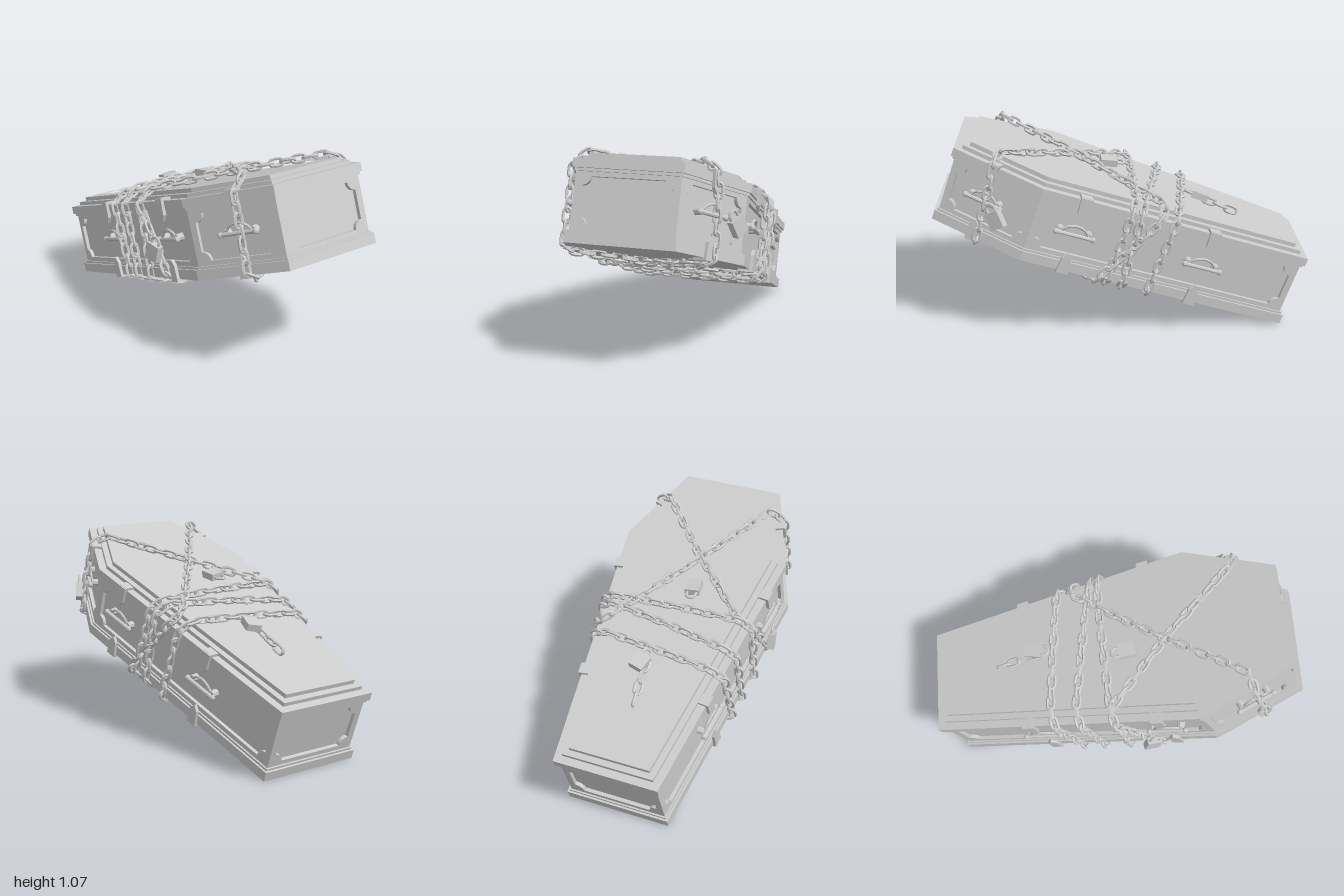
import * as THREE from 'three';
import { mergeGeometries } from 'three/addons/utils/BufferGeometryUtils.js';

const MAT = new THREE.MeshStandardMaterial({ color: 0xcccccc, flatShading: true });
const END = 0.99, TOP = 0.452;

function mesh(name, geo, parent, x = 0, y = 0, z = 0) {
  const m = new THREE.Mesh(geo, MAT);
  m.name = name;
  m.position.set(x, y, z);
  parent.add(m);
  return m;
}

// Half width of the coffin at length position u, inset by d
const sideX = (u, d = 0) => Math.min(
  0.285 + 0.127 * (u + END) - 1.008 * d,
  0.285 + 0.384 * (END - u) - 1.071 * d);

// Six-sided coffin outline as [x, z], inset by d
function outline(d) {
  const e = END - d, s = 0.5 - 0.123 * d;
  const half = [-e, s, e].map(u => [sideX(u, d), u]);
  return [...half, ...half.map(([x, u]) => [-x, u]).reverse()];
}

const flat = pts => pts.map(([x, z]) => new THREE.Vector2(x, -z));

// Vertical prism over an outline, with an optional hole
function prism(name, parent, pts, y0, y1, hole) {
  const shape = new THREE.Shape(flat(pts));
  if (hole) shape.holes.push(new THREE.Path(flat(hole)));
  const geo = new THREE.ExtrudeGeometry(shape, { depth: y1 - y0, bevelEnabled: false });
  return mesh(name, geo.rotateX(-Math.PI / 2), parent, 0, y0, 0);
}

// Frame for one side: a rectangle whose opening has scooped corners
function frameGeometry(w, h, depth) {
  const a = w / 2, b = h / 2, p = a - 0.036, q = b - 0.036, r = 0.045;
  const shape = new THREE.Shape([[-a, -b], [a, -b], [a, b], [-a, b]].map(c => new THREE.Vector2(...c)));
  const hole = new THREE.Path();
  hole.moveTo(-p + r, -q);
  hole.lineTo(p - r, -q);
  hole.absarc(p, -q, r, Math.PI, Math.PI / 2, true);
  hole.lineTo(p, q - r);
  hole.absarc(p, q, r, Math.PI * 1.5, Math.PI, true);
  hole.lineTo(-p + r, q);
  hole.absarc(-p, q, r, 0, -Math.PI / 2, true);
  hole.lineTo(-p, -q + r);
  hole.absarc(-p, -q, r, Math.PI / 2, 0, true);
  shape.holes.push(hole);
  return new THREE.ExtrudeGeometry(shape, { depth, bevelEnabled: false, curveSegments: 5 });
}

// Carrying handle: two bosses, a knobbed bar and an arched bail
function addHandle(parent, x, y) {
  const g = new THREE.Group();
  g.name = 'handle';
  g.position.set(x, y, 0);
  parent.add(g);
  for (const s of [-1, 1]) {
    mesh('handleBoss', new THREE.CylinderGeometry(0.018, 0.022, 0.04, 8).rotateX(Math.PI / 2), g, s * 0.078, 0, -0.005);
    mesh('handleKnob', new THREE.SphereGeometry(0.016, 8, 6), g, s * 0.1, -0.006, 0.024);
  }
  mesh('handleBar', new THREE.CylinderGeometry(0.011, 0.011, 0.2, 8).rotateZ(Math.PI / 2), g, 0, -0.006, 0.024);
  const arch = new THREE.CatmullRomCurve3([[-0.075, 0, 0.01], [-0.045, 0.032, 0.018],
    [0, 0.044, 0.02], [0.045, 0.032, 0.018], [0.075, 0, 0.01]].map(p => new THREE.Vector3(...p)));
  mesh('handleArch', new THREE.TubeGeometry(arch, 12, 0.007, 6), g);
}

// Pointed clamp plate with a lip folded over the rim
function addClip(parent, x, y, flip) {
  const g = new THREE.Group();
  g.name = 'clip';
  g.position.set(x, y, 0.018);
  if (flip) g.rotation.z = Math.PI;
  parent.add(g);
  const shape = new THREE.Shape([[-0.032, -0.012], [0.032, -0.012], [0.026, 0.075], [0, 0.105], [-0.026, 0.075]]
    .map(p => new THREE.Vector2(...p)));
  mesh('clipPlate', new THREE.ExtrudeGeometry(shape, { depth: 0.018, bevelEnabled: false }), g);
  mesh('clipLip', new THREE.BoxGeometry(0.064, 0.014, 0.07), g, 0, -0.007, -0.025);
}

// One chain link, long axis along z, lying flat in xz
function linkGeometry() {
  const pts = [];
  for (let i = 0; i < 12; i++) {
    const a = (i + 0.5) / 12 * Math.PI * 2;
    pts.push(new THREE.Vector3(Math.cos(a) * 0.018, 0, Math.sin(a) * 0.018 + Math.sign(Math.sin(a)) * 0.02));
  }
  return new THREE.TubeGeometry(new THREE.CatmullRomCurve3(pts, true), 18, 0.0085, 5, true);
}

// Alternating links spaced along a polyline of [x, y, z] points
function addChain(name, parent, points, link) {
  const path = new THREE.CurvePath(), v = points.map(p => new THREE.Vector3(...p));
  for (let i = 1; i < v.length; i++) path.add(new THREE.LineCurve3(v[i - 1], v[i]));
  const n = Math.max(2, 2 * Math.round(path.getLength() / 0.116));
  const at = path.getSpacedPoints(n), parts = [];
  for (let i = 0; i < n; i++) {
    const mid = at[i].clone().add(at[i + 1]).multiplyScalar(0.5);
    const t = at[i + 1].clone().sub(at[i]).normalize();
    const out = new THREE.Vector3(mid.x * 0.5, mid.y - 0.22, 0);
    const side = out.cross(t).normalize();
    const up = t.clone().cross(side);
    const m = new THREE.Matrix4().makeBasis(side, up, t);
    m.multiply(new THREE.Matrix4().makeRotationZ((i % 2 ? Math.PI / 2 : 0) + 0.25 * Math.sin(i * 1.7)));
    parts.push(link.clone().applyMatrix4(m.setPosition(mid)));
  }
  mesh(name, mergeGeometries(parts), parent);
}

// Closed route round the coffin: length positions at top right/left and bottom left/right
function wrap(tr, tl, bl, br, lift) {
  const top = TOP + lift, w = u => sideX(u) + 0.016;
  return [
    [-w(tr), 0.41, tr], [-sideX(tr) + 0.06, top, tr], [0, top + 0.008, (tr + tl) / 2],
    [sideX(tl) - 0.06, top, tl], [w(tl), 0.41, tl], [w(bl), 0.0, bl],
    [sideX(bl) - 0.03, -0.018, bl], [-sideX(br) + 0.03, -0.018, br], [-w(br), 0.0, br], [-w(tr), 0.41, tr]];
}

function addPadlock(parent, pos, rot) {
  const g = new THREE.Group();
  g.name = 'padlock';
  g.position.set(...pos);
  g.rotation.set(...rot);
  parent.add(g);
  mesh('padlockBody', new THREE.BoxGeometry(0.08, 0.09, 0.038), g);
  mesh('padlockShackle', new THREE.TorusGeometry(0.025, 0.008, 6, 12, Math.PI), g, 0, 0.06, 0);
  for (const s of [-1, 1]) mesh('shackleLeg', new THREE.CylinderGeometry(0.008, 0.008, 0.03, 6), g, s * 0.025, 0.05, 0);
}

export function createModel() {
  const root = new THREE.Group();
  root.name = 'chainedCoffin';
  const coffin = new THREE.Group();
  coffin.name = 'coffin';
  coffin.position.set(0, 0.33, 0.067);
  coffin.rotation.x = -0.337;
  root.add(coffin);

  // Base, body and stepped lid with a sunken panel
  prism('baseRim', coffin, outline(0), 0, 0.052);
  prism('baseMoulding', coffin, outline(0.011), 0.052, 0.064);
  prism('body', coffin, outline(0.04), 0.05, 0.37);
  prism('lidMoulding', coffin, outline(0.011), 0.35, 0.365);
  prism('lidRim', coffin, outline(0), 0.365, 0.41);
  prism('lidStep', coffin, outline(0.042), 0.41, 0.43);
  const recess = [[0.13, -0.86], [0.322, 0.49], [0.18, 0.78], [-0.18, 0.78], [-0.322, 0.49], [-0.13, -0.86]];
  prism('lidTop', coffin, outline(0.075), 0.43, TOP, recess);

  // Six framed sides with handles and clips
  const pts = outline(0.02);
  pts.forEach(([x0, z0], i) => {
    const [x1, z1] = pts[(i + 1) % 6];
    const mx = (x0 + x1) / 2, mz = (z0 + z1) / 2, len = Math.hypot(x1 - x0, z1 - z0);
    const turn = Math.atan2(z1 - z0, x0 - x1);
    const side = new THREE.Group();
    side.name = 'side';
    side.position.set(mx, 0, mz);
    side.rotation.y = turn;
    coffin.add(side);
    mesh('sideFrame', frameGeometry(len, 0.31, 0.024), side, 0, 0.208, -0.024);
    if (Math.abs(mx) < 0.01) return;
    for (const u of mz < 0.3 ? [-0.44, 0.274] : [0.76]) {
      const along = (u - mz) / -Math.sin(turn);
      addHandle(side, along, 0.215);
      addClip(side, along, 0, false);
      addClip(side, along, 0.41, true);
    }
  });

  // Chains
  const link = linkGeometry();
  addChain('backChain', coffin, wrap(-0.29, -0.22, -0.2, -0.27, 0.018), link);
  addChain('middleChain', coffin, wrap(-0.146, -0.03, -0.06, -0.15, 0.018), link);
  addChain('waistChain', coffin, wrap(0.045, 0.02, 0.03, 0.0, 0.018), link);
  addChain('diagonalChain', coffin, wrap(0.8, -0.14, 0.09, 0.785, 0.03), link);
  addChain('crossingChain', coffin, wrap(0.045, 0.77, 0.74, 0.21, 0.02), link);
  addChain('looseChainEnd', coffin, [[0.02, TOP + 0.02, -0.33], [0.01, TOP + 0.015, -0.45], [0, 0.45, -0.59]], link);

  // Padlocks hanging at the sides and lying on the lid
  addPadlock(coffin, [0.475, 0.175, 0.68], [0.25, 1.1, 0.55]);
  addPadlock(coffin, [-0.485, 0.155, 0.17], [0.25, -1.4, -0.3]);
  addPadlock(coffin, [0.045, 0.492, -0.36], [Math.PI / 2, 0.1, 0.25]);
  addPadlock(coffin, [-0.06, 0.49, 0.17], [-Math.PI / 2 + 0.2, 0.1, 0.1]);
  return root;
}
